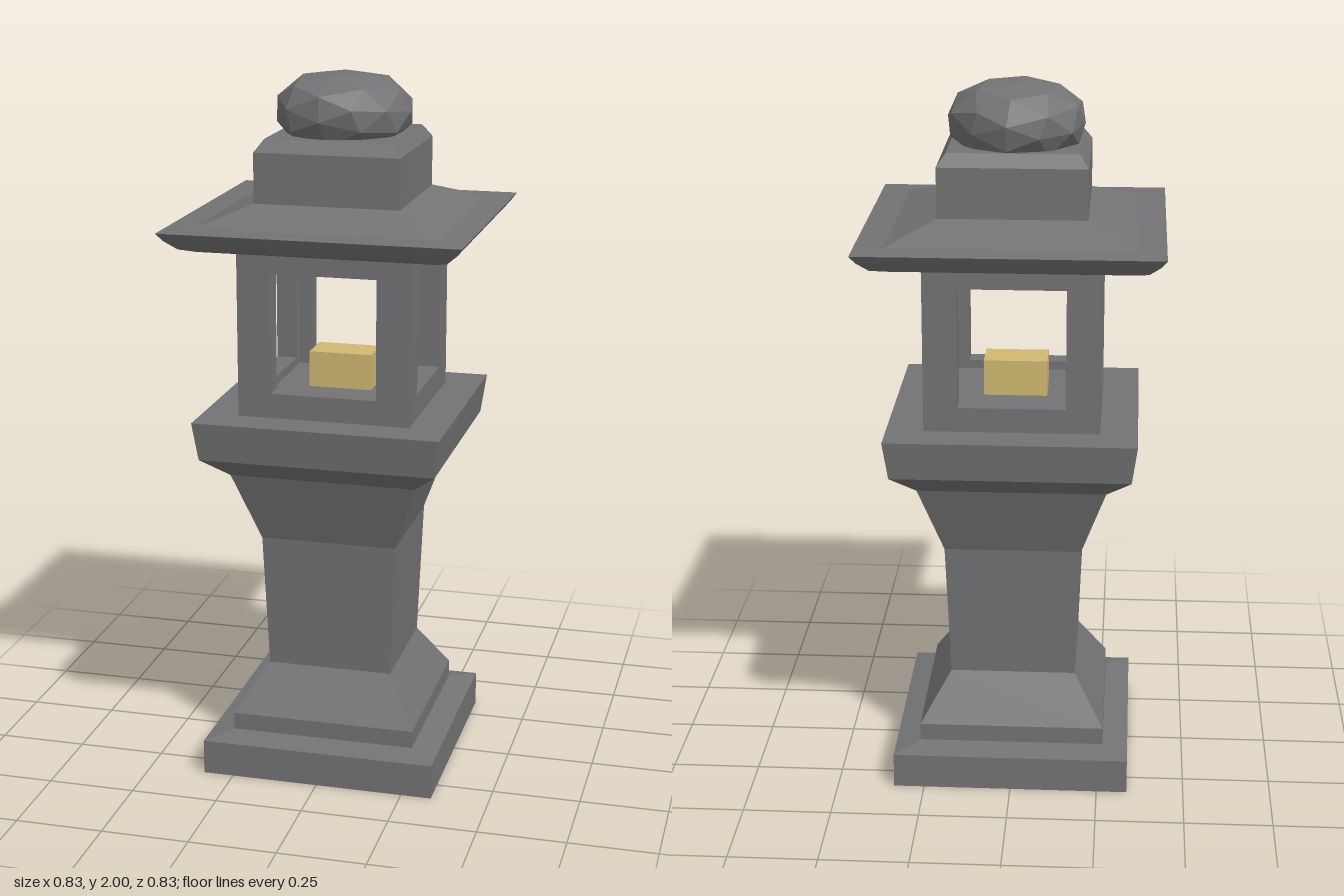
import * as THREE from 'three';

const stone = new THREE.MeshStandardMaterial({ color: 0x737375 });
stone.name = 'grey stone';
const glow = new THREE.MeshStandardMaterial({ color: 0xd0b870 });
glow.name = 'pale yellow light';

// Gives every face its own flat normal
function faceted(geometry) {
  const flat = geometry.index ? geometry.toNonIndexed() : geometry;
  flat.computeVertexNormals();
  return flat;
}

function part(name, geometry, material = stone) {
  const mesh = new THREE.Mesh(geometry, material);
  mesh.name = name;
  return mesh;
}

// Square stack: profile of [half width, height], bottom to top, closed at both ends
function squareStack(profile) {
  const points = [[0, profile[0][1]], ...profile, [0, profile.at(-1)[1]]]
    .map(([w, y]) => new THREE.Vector2(w * Math.SQRT2, y));
  return faceted(new THREE.LatheGeometry(points, 4, Math.PI / 4));
}

// Wall panel with a square window, lying in the xy plane
function wallPanel(halfWidth, thickness) {
  const rect = (Type, w, y0, y1) => new Type([
    new THREE.Vector2(-w, y0), new THREE.Vector2(w, y0),
    new THREE.Vector2(w, y1), new THREE.Vector2(-w, y1),
  ]);
  const shape = rect(THREE.Shape, halfWidth, 1.065, 1.55);
  shape.holes.push(rect(THREE.Path, 0.15, 1.135, 1.475));
  return new THREE.ExtrudeGeometry(shape, { depth: thickness, bevelEnabled: false });
}

// Roughly hewn, squashed boulder
function boulder() {
  const geometry = new THREE.IcosahedronGeometry(1, 1);
  geometry.rotateX(0.35).rotateZ(0.25).rotateY(0.4);
  const pos = geometry.attributes.position;
  const v = new THREE.Vector3();
  for (let i = 0; i < pos.count; i++) {
    v.fromBufferAttribute(pos, i);
    const p = 2.6;
    const bulge = (Math.hypot(v.x, v.z) ** p + Math.abs(v.y) ** p) ** (-1 / p);
    const rough = 1 + 0.025 * Math.sin(7 * v.x + 11 * v.y + 5 * v.z);
    const r = 0.192 * bulge * rough;
    pos.setXYZ(i, v.x * r - 0.005, Math.min(2, 1.895 + v.y * bulge * 0.108), v.z * r - 0.005);
  }
  return faceted(geometry);
}

export function createModel() {
  const model = new THREE.Group();
  model.name = 'stoneLantern';

  // Foot and waisted pillar
  model.add(part('base', squareStack([[0.337, 0], [0.337, 0.1], [0.265, 0.115]])));
  model.add(part('pillar', squareStack([
    [0.265, 0.11], [0.265, 0.165], [0.18, 0.3], [0.195, 0.69], [0.265, 0.895], [0.335, 0.955],
  ])));
  model.add(part('platform', squareStack([[0.335, 0.955], [0.35, 1.065]])));

  // Light chamber: four windowed walls around a floor
  const chamber = new THREE.Group();
  chamber.name = 'lightChamber';
  const outer = 0.245, thickness = 0.06;
  ['front', 'left', 'back', 'right'].forEach((side, i) => {
    const halfWidth = i % 2 ? outer - thickness : outer;
    const wall = part(side + 'Wall', wallPanel(halfWidth, thickness)
      .translate(0, 0, outer - thickness).rotateY(i * Math.PI / 2));
    chamber.add(wall);
  });
  chamber.add(part('chamberFloor', squareStack([[0.187, 1.065], [0.187, 1.11]])));
  chamber.add(part('light', new THREE.BoxGeometry(0.18, 0.105, 0.11).translate(0, 1.16, 0), glow));
  model.add(chamber);

  // Flared roof and its cap
  model.add(part('roof', squareStack([
    [0.33, 1.545], [0.37, 1.558], [0.4, 1.585], [0.417, 1.608], [0.335, 1.611], [0.205, 1.66],
  ])));
  model.add(part('roofCap', squareStack([[0.205, 1.655], [0.205, 1.8], [0.18, 1.835]])));
  model.add(part('boulder', boulder()));

  return model;
}
